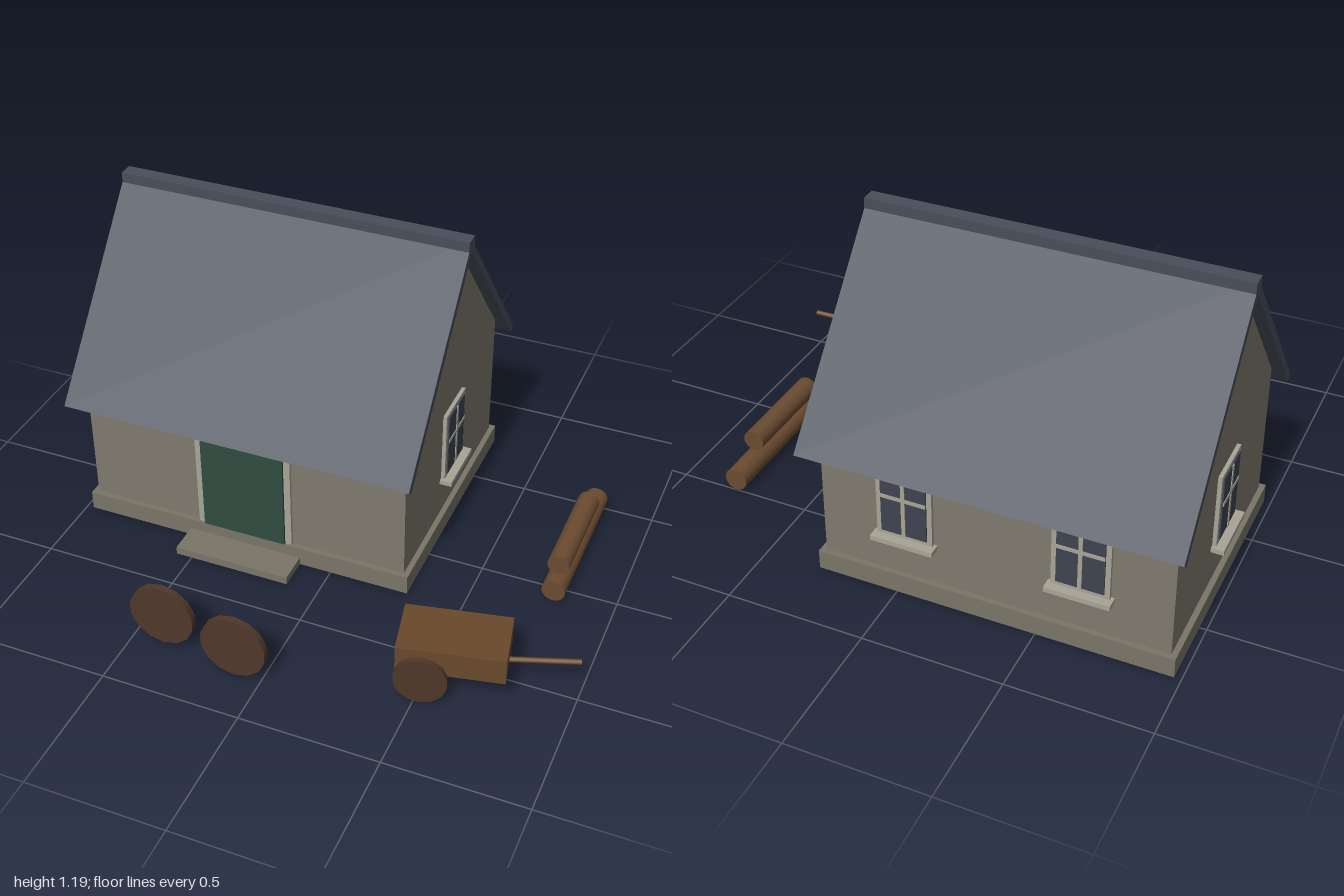
import * as THREE from 'three';

const mat = (name, color) => {
  const m = new THREE.MeshStandardMaterial({ color });
  m.name = name;
  return m;
};

export function createModel() {
  const wall = mat('wall plaster', 0x7f7a6d);
  const stone = mat('plinth stone', 0x7a7568);
  const slate = mat('roof slate', 0x484e59);
  const green = mat('door green', 0x2f4c40);
  const trim = mat('pale trim', 0xa8a496);
  const glass = mat('window glass', 0x3d4350);
  const wood = mat('cart wood', 0x694a2b);
  const logWood = mat('log wood', 0x6c4c31);
  const wheelWood = mat('wheel wood', 0x4f3829);

  const root = new THREE.Group();
  root.name = 'cottageYard';

  const add = (parent, name, geo, material, x = 0, y = 0, z = 0) => {
    const m = new THREE.Mesh(geo, material);
    m.name = name;
    m.position.set(x, y, z);
    parent.add(m);
    return m;
  };
  const box = (parent, name, material, w, h, d, x, y, z) =>
    add(parent, name, new THREE.BoxGeometry(w, h, d), material, x, y, z);
  // Profile in the depth/height plane, extruded along x
  const prism = (points, length) => {
    const shape = new THREE.Shape(points.map(([a, b]) => new THREE.Vector2(a, b)));
    return new THREE.ExtrudeGeometry(shape, { depth: length, bevelEnabled: false })
      .translate(0, 0, -length / 2).rotateY(Math.PI / 2);
  };
  // Cylinder lying along z
  const disc = (r, length, sides) =>
    new THREE.CylinderGeometry(r, r, length, sides).rotateX(Math.PI / 2);

  // House body
  const house = new THREE.Group();
  house.name = 'house';
  house.position.set(-0.34, 0, -0.26);
  root.add(house);
  box(house, 'plinth', stone, 1.27, 0.073, 0.98, 0, 0.0365, 0);
  const apex = 1.137, slope = 1.192, half = 0.47;
  const eave = apex - half * slope;
  add(house, 'gabledWalls', prism(
    [[-half, 0.07], [half, 0.07], [half, eave], [0, apex], [-half, eave]], 1.23), wall);

  // Roof slopes and ridge cap
  for (const s of [-1, 1]) {
    const pts = [[0, apex], [s * 0.54, 0.494], [s * 0.563, 0.513], [0, 1.184]];
    add(house, s > 0 ? 'backRoof' : 'frontRoof', prism(s > 0 ? pts : pts.reverse(), 1.32), slate);
  }
  box(house, 'ridgeCap', slate, 1.32, 0.055, 0.055, 0, 1.1615, 0);

  // Door, surround and step
  box(house, 'doorFrame', trim, 0.37, 0.467, 0.012, 0, 0.306, half + 0.006);
  box(house, 'door', green, 0.32, 0.442, 0.009, 0, 0.294, half + 0.016);
  box(house, 'doorStep', stone, 0.44, 0.03, 0.12, 0, 0.015, 0.548);

  // Windows, built facing +z and turned onto each wall
  const addWindow = (name, x, z, turn) => {
    const w = new THREE.Group();
    w.name = name;
    w.position.set(x, 0.368, z);
    w.rotation.y = turn;
    house.add(w);
    box(w, 'windowFrame', trim, 0.2, 0.28, 0.014, 0, 0, 0.007);
    box(w, 'windowPane', glass, 0.164, 0.248, 0.006, 0, 0.003, 0.016);
    box(w, 'uprightBar', trim, 0.014, 0.248, 0.004, 0, 0.003, 0.02);
    box(w, 'crossBar', trim, 0.164, 0.014, 0.004, 0, 0.022, 0.0195);
    box(w, 'windowSill', trim, 0.225, 0.018, 0.045, 0, -0.146, 0.0225);
  };
  addWindow('leftWindow', 0.615, 0, Math.PI / 2);
  addWindow('rightWindow', -0.615, 0, -Math.PI / 2);
  for (const s of [-1, 1]) addWindow('backWindow', s * 0.3075, -half, Math.PI);

  // Loose wheels standing before the house
  for (const [x, z] of [[-0.388, 0.767], [-0.098, 0.815]])
    add(root, 'looseWheel', disc(0.12, 0.025, 14), wheelWood, x, 0.122, z);

  // Handcart
  const cart = new THREE.Group();
  cart.name = 'handcart';
  cart.position.set(0.588, 0, 0.564);
  cart.rotation.y = 0.203;
  root.add(cart);
  box(cart, 'cartBed', wood, 0.366, 0.098, 0.213, 0, 0.161, 0);
  for (const s of [-1, 1])
    add(cart, 'cartWheel', disc(0.092, 0.02, 14), wheelWood, -0.095, 0.093, s * 0.119);
  const handle = add(cart, 'cartHandle', new THREE.CylinderGeometry(0.01, 0.01, 0.25, 8), wood, 0.294, 0.137, 0);
  handle.rotation.z = -Math.PI / 2 + 0.13;

  // Stacked logs
  add(root, 'lowerLog', disc(0.043, 0.568, 16), logWood, 0.783, 0.045, -0.215);
  add(root, 'upperLog', disc(0.04, 0.392, 16), logWood, 0.783, 0.129, -0.17);

  return root;
}
